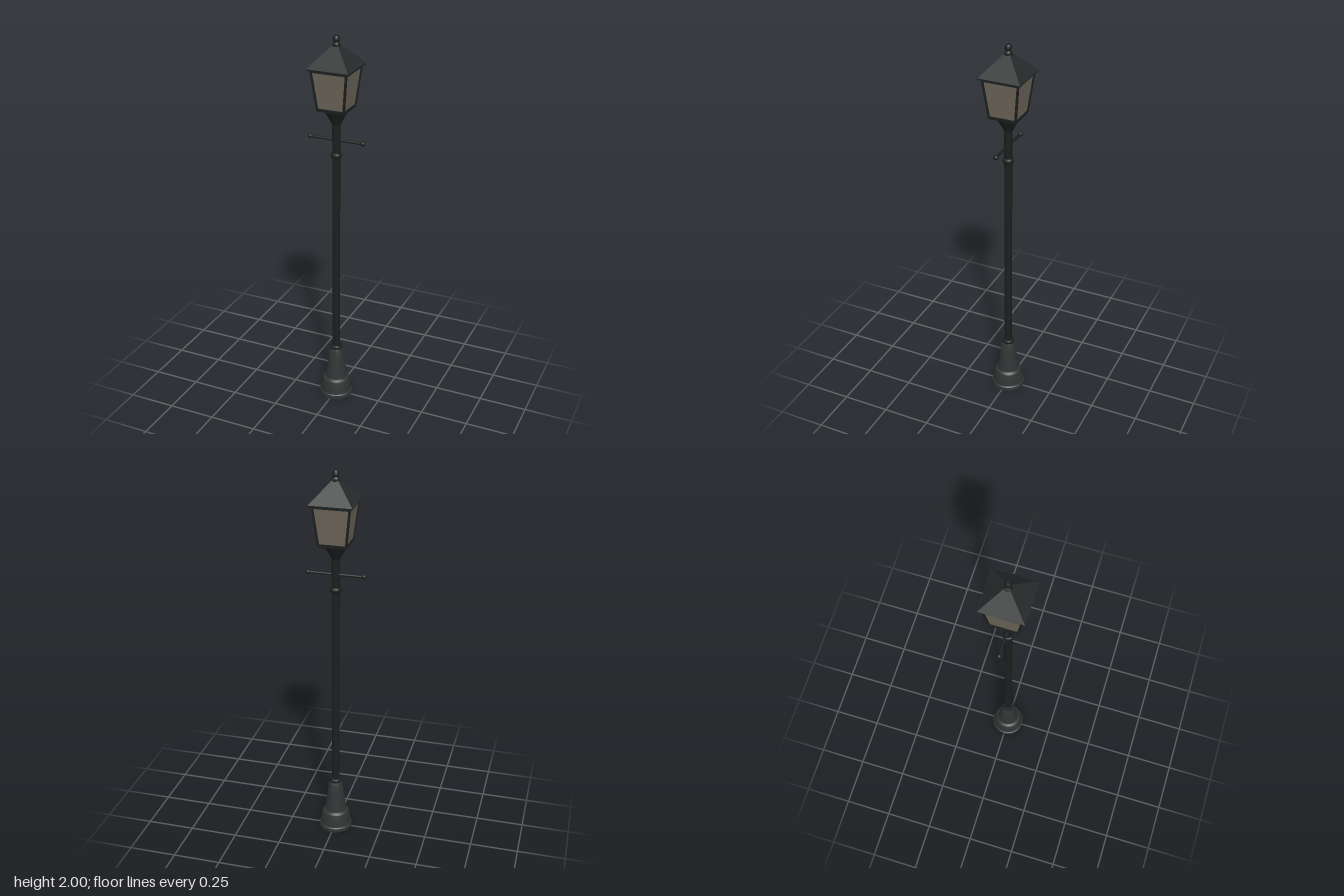
import * as THREE from 'three';
import { toCreasedNormals } from 'three/addons/utils/BufferGeometryUtils.js';

const iron = new THREE.MeshStandardMaterial({ color: 0x1c1f1f });
const castIron = new THREE.MeshStandardMaterial({ color: 0x2f3534 });
const roofIron = new THREE.MeshStandardMaterial({ color: 0x262a2a });
const glass = new THREE.MeshStandardMaterial({ color: 0x6b6458 });

export function createModel() {
  const model = new THREE.Group();
  model.name = 'streetLamp';

  const add = (name, geometry, material, parent = model) => {
    const mesh = new THREE.Mesh(geometry, material);
    mesh.name = name;
    parent.add(mesh);
    return mesh;
  };

  // Turned part from [radius, height] pairs, bottom to top
  const turned = (name, profile, material, sides = 24) => {
    const points = profile.map(([r, y]) => new THREE.Vector2(r, y));
    return add(name, toCreasedNormals(new THREE.LatheGeometry(points, sides), 0.6), material);
  };

  // Square tapered block, sized by half widths
  const squareTaper = (name, bottom, top, y0, y1, material, parent) => {
    const g = new THREE.CylinderGeometry(top * Math.SQRT2, bottom * Math.SQRT2, y1 - y0, 4);
    g.rotateY(Math.PI / 4).translate(0, (y0 + y1) / 2, 0);
    return add(name, toCreasedNormals(g, 0.3), material, parent);
  };

  // Square bar between two points
  const bar = (name, a, b, size, parent) => {
    const dir = b.clone().sub(a);
    const mesh = add(name, new THREE.BoxGeometry(size, dir.length(), size), iron, parent);
    mesh.position.copy(a).add(b).multiplyScalar(0.5);
    mesh.quaternion.setFromUnitVectors(new THREE.Vector3(0, 1, 0), dir.normalize());
  };

  // Bell-shaped foot tapering to the post
  turned('base', [
    [0, 0], [0.088, 0], [0.088, 0.02], [0.082, 0.025], [0.079, 0.05], [0.074, 0.08],
    [0.07, 0.095], [0.057, 0.105], [0.054, 0.12], [0.045, 0.2], [0.038, 0.265], [0.032, 0.28], [0, 0.28],
  ], castIron);
  turned('baseCollar', [[0, 0.278], [0.03, 0.278], [0.032, 0.284], [0.032, 0.294], [0.028, 0.3], [0, 0.3]], iron);

  // Post and its upper ring
  turned('post', [[0.02, 0.28], [0.02, 1.58]], iron, 16);
  turned('postRing', [
    [0.02, 1.38], [0.025, 1.383], [0.028, 1.389], [0.028, 1.399], [0.025, 1.405], [0.02, 1.408],
  ], iron);

  // Ladder rest with ball ends
  const crossbar = add('ladderBar', new THREE.CylinderGeometry(0.007, 0.007, 0.28, 10), iron);
  crossbar.rotation.z = Math.PI / 2;
  crossbar.position.y = 1.475;
  for (const side of [-1, 1]) {
    const ball = add(side > 0 ? 'leftBarBall' : 'rightBarBall', new THREE.SphereGeometry(0.013, 10, 8), iron);
    ball.position.set(side * 0.142, 1.475, 0);
  }

  // Flared cup under the lantern
  turned('lanternCup', [
    [0, 1.557], [0.022, 1.557], [0.028, 1.57], [0.042, 1.596], [0.057, 1.622], [0.063, 1.636], [0, 1.636],
  ], iron);

  // Lantern: glass body, corner bars, top and bottom rails
  const lantern = new THREE.Group();
  lantern.name = 'lantern';
  model.add(lantern);
  const low = 0.069, high = 0.092, y0 = 1.641, y1 = 1.84;
  squareTaper('lanternFloor', low + 0.003, low + 0.004, 1.633, 1.645, iron, lantern);
  squareTaper('glass', low - 0.001, high - 0.001, y0, y1, glass, lantern);
  for (let i = 0; i < 4; i++) {
    const corner = (k, half, y) => {
      const a = Math.PI / 4 + (k * Math.PI) / 2;
      return new THREE.Vector3(Math.cos(a), 0, Math.sin(a)).multiplyScalar(half * Math.SQRT2).setY(y);
    };
    bar('cornerBar', corner(i, low, y0), corner(i, high, y1), 0.01, lantern);
    bar('bottomRail', corner(i, low, y0 + 0.003), corner(i + 1, low, y0 + 0.003), 0.009, lantern);
    bar('topRail', corner(i, high, y1 - 0.004), corner(i + 1, high, y1 - 0.004), 0.01, lantern);
  }

  // Pyramid roof with a thin eave
  squareTaper('eave', 0.106, 0.11, 1.84, 1.849, roofIron, lantern);
  squareTaper('roof', 0.109, 0.016, 1.849, 1.95, roofIron, lantern);

  // Finial
  turned('finial', [
    [0, 1.94], [0.019, 1.94], [0.021, 1.948], [0.02, 1.957], [0.014, 1.963], [0.013, 1.967],
    [0.017, 1.974], [0.018, 1.981], [0.016, 1.989], [0.01, 1.997], [0, 2],
  ], iron);

  return model;
}
